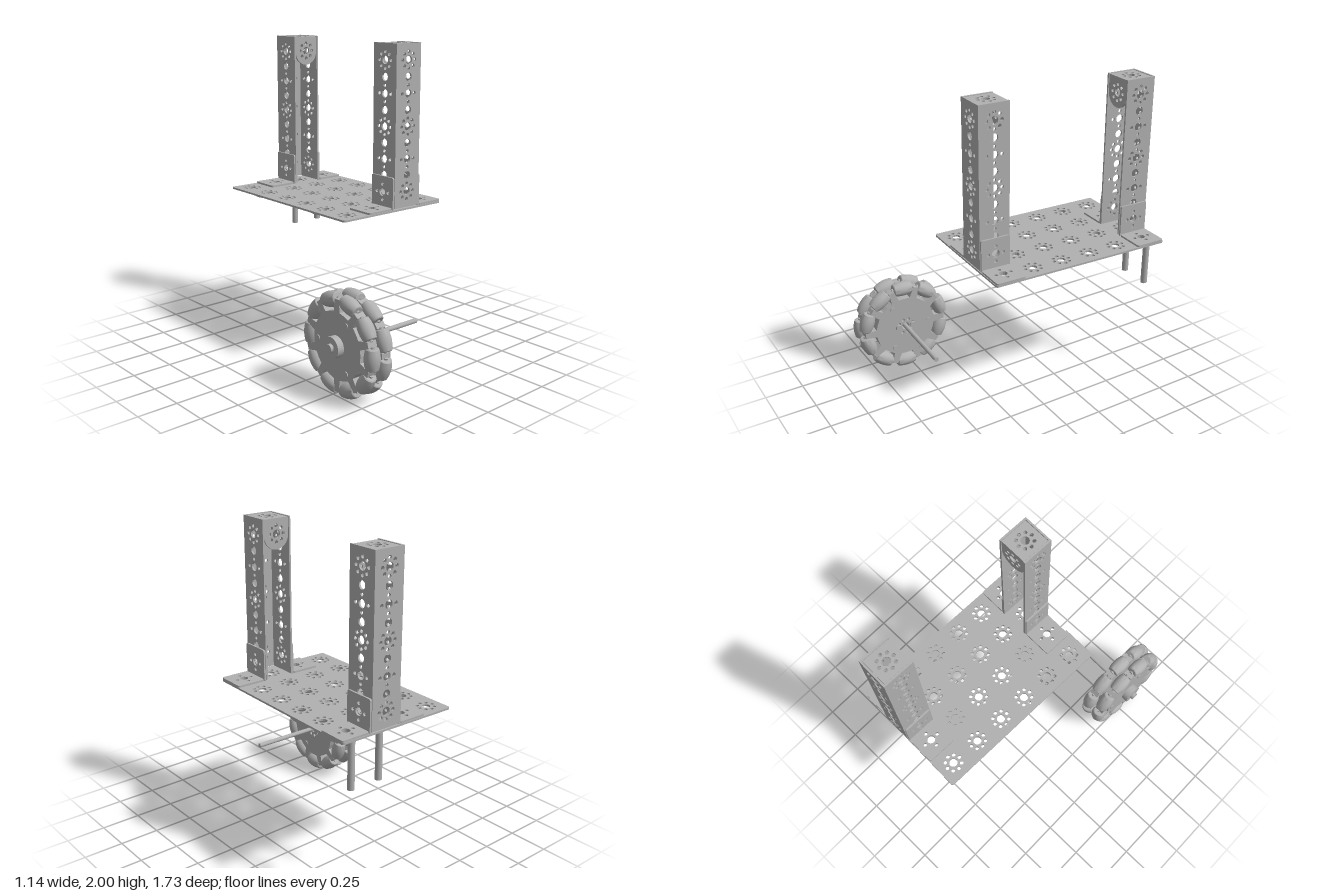
import * as THREE from 'three';
import { toCreasedNormals } from 'three/addons/utils/BufferGeometryUtils.js';

const steel = new THREE.MeshStandardMaterial({ color: 0xb0b0b0 });
steel.name = 'brushed grey';

const P = 0.202;      // hole pitch
const T = 0.012;      // sheet thickness
const TILT = -0.03;   // slight turn of the parts about y

function add(parent, name, geometry, x = 0, y = 0, z = 0) {
  const mesh = new THREE.Mesh(geometry, steel);
  mesh.name = name;
  mesh.position.set(x, y, z);
  parent.add(mesh);
  return mesh;
}

// Centre hole with n small holes around it
function drill(shape, x, y, n) {
  const hole = (cx, cy, r) => shape.holes.push(new THREE.Path().absarc(cx, cy, r, 0, Math.PI * 2, true));
  hole(x, y, 0.026);
  for (let i = 0; i < n; i++) {
    const a = i / n * Math.PI * 2;
    hole(x + 0.05 * Math.cos(a), y + 0.05 * Math.sin(a), 0.0115);
  }
}

// Drilled sheet with corner radii for the top and bottom, lying in the xy plane
function sheet(w, h, rTop, rBottom, holes, t = T) {
  const s = new THREE.Shape(), a = w / 2, b = h / 2, q = Math.PI / 2;
  s.absarc(a - rBottom, -b + rBottom, rBottom, -q, 0);
  s.absarc(a - rTop, b - rTop, rTop, 0, q);
  s.absarc(-a + rTop, b - rTop, rTop, q, 2 * q);
  s.absarc(-a + rBottom, -b + rBottom, rBottom, 2 * q, 3 * q);
  holes.forEach(([x, y, n]) => drill(s, x, y, n));
  return new THREE.ExtrudeGeometry(s, { depth: t, bevelEnabled: false, curveSegments: 7 });
}
const flat = g => g.rotateX(-Math.PI / 2);
const upright = g => g.rotateY(Math.PI / 2);

// U channel with its open side toward -z, two foot brackets and a top bracket
function tower() {
  const g = new THREE.Group(), H = 5 * P, mid = 2 - H / 2, half = P / 2;
  const holes = [];
  for (let i = -2; i <= 2; i++) {
    holes.push([0, i * P, i % 2 ? 4 : 8]);
    if (i < 2) holes.push([0, (i + 0.5) * P, 0]);
  }
  add(g, 'channelWeb', sheet(P - 2 * T, H, 0.001, 0.001, holes), 0, mid, half - T);
  for (const side of [-1, 1]) {
    add(g, 'channelFlange', upright(sheet(P, H, 0.001, 0.001, holes)), side > 0 ? half - T : -half, mid, 0);
    // foot bracket
    add(g, 'footBracketUpright', upright(sheet(P - 0.008, P, 0.012, 0.001, [[0, 0, 4]])),
      side > 0 ? half : -half - T, 0.984 + half, 0);
    add(g, 'footBracketBase', flat(sheet(P - T, P - 0.008, 0.015, 0.015, [[-side * T / 2, 0, 4]])),
      side * (P + T / 2), 0.983, 0);
  }
  // top bracket
  const inner = P - 2 * T - 0.004;
  add(g, 'topCap', flat(sheet(inner, P - 2 * T, 0.002, 0.002, [[0, 0, 8]])), 0, 1.985, -0.002);
  add(g, 'topCapTab', sheet(inner, 0.19, 0.002, inner / 2 - 0.001, [[0, 0, 8]]), 0, 1.902, -half + 0.004);
  return g;
}

function chassis() {
  const g = new THREE.Group();
  g.name = 'chassis';
  const holes = [];
  for (let c = -1.5; c <= 1.5; c++)
    for (let r = -2.5; r <= 2.5; r++) holes.push([c * P, r * P, 8]);
  add(g, 'basePlate', flat(sheet(4 * P, 6 * P, 0.015, 0.015, holes)), 0, 0.971, 0);

  // rounded strips under the plate
  for (const row of [-1.5, 1.5])
    add(g, 'underStrip', flat(sheet(0.58, 0.18, 0.0895, 0.0895, [[-P, 0, 8], [P, 0, 8]], 0.009)), -P / 2, 0.962, row * P);

  // hanging rods
  for (const col of [0.5, 1.5])
    add(g, 'hangingRod', new THREE.CylinderGeometry(0.021, 0.021, 0.317, 24), col * P, 0.8135, -2.5 * P - 0.05);

  const front = tower(), back = tower();
  front.name = 'frontTower';
  back.name = 'backTower';
  front.position.set(P / 2, 0, 2.5 * P);
  back.position.set(P / 2, 0, -2.5 * P);
  back.rotation.y = Math.PI;
  g.add(front, back);
  return g;
}

// Cylinder along x
const bar = (r, len, n = 32) => new THREE.CylinderGeometry(r, r, len, n).rotateZ(-Math.PI / 2);

function omniWheel() {
  const g = new THREE.Group();
  g.name = 'omniWheel';
  const N = 10, step = Math.PI * 2 / N, ring = 0.27;

  // barrel roller, axis along the tangent
  const profile = [[0, -0.064], [0.034, -0.064], [0.039, -0.06], [0.044, -0.04], [0.047, -0.02], [0.048, 0],
    [0.047, 0.02], [0.044, 0.04], [0.039, 0.06], [0.034, 0.064], [0, 0.064]];
  const roller = toCreasedNormals(new THREE.LatheGeometry(profile.map(p => new THREE.Vector2(...p)), 28), 0.6);

  // disc with a tooth between each pair of rollers
  const disc = new THREE.Shape(), r0 = 0.207, r1 = 0.283;
  for (let i = 0; i < N; i++) {
    const a = (i + 0.5) * step, c = Math.cos(a), s = Math.sin(a);
    for (const [r, w] of [[r0, -0.026], [r1, -0.019], [r1, 0.019], [r0, 0.026]]) {
      const x = r * c - w * s, y = r * s + w * c;
      if (i === 0 && r === r0 && w < 0) disc.moveTo(x, y); else disc.lineTo(x, y);
    }
    for (const k of [0.8, 1, 1.2])
      disc.lineTo(r0 * Math.cos((i + k) * step), r0 * Math.sin((i + k) * step));
  }
  drill(disc, 0, 0, 8);
  const discGeo = upright(new THREE.ExtrudeGeometry(disc, { depth: 0.064, bevelEnabled: false, curveSegments: 8 })
    .translate(0, 0, -0.032));

  [-0.047, 0.047].forEach((x, k) => {
    const row = new THREE.Group();
    row.name = 'rollerRow';
    row.position.x = x;
    row.rotation.x = k * step / 2;
    add(row, 'wheelDisc', discGeo);
    for (let i = 0; i < N; i++) {
      const arm = new THREE.Group();
      arm.name = 'rollerMount';
      arm.rotation.x = i * step;
      add(arm, 'roller', roller, 0, 0, ring);
      add(arm, 'rollerPin', new THREE.CylinderGeometry(0.014, 0.014, 0.15, 10), 0, 0, ring);
      row.add(arm);
    }
    g.add(row);
  });

  // hub, axle and screws
  add(g, 'spacer', bar(0.08, 0.03), 0, 0, 0);
  add(g, 'hub', bar(0.065, 0.044), -0.1, 0, 0);
  add(g, 'hubCollar', bar(0.026, 0.022, 24), -0.131, 0, 0);
  add(g, 'axle', bar(0.015, 0.69, 20), 0.207, 0, 0);
  for (const z of [-0.05, 0.05]) add(g, 'hubScrew', bar(0.021, 0.014, 16), 0.085, 0, z);
  for (let i = 0; i < 3; i++) {
    const a = Math.PI + i * Math.PI * 2 / 3;
    for (const x of [-0.081, 0.081])
      add(g, 'discScrew', bar(0.017, 0.008, 16), x, 0.169 * Math.sin(a), 0.169 * Math.cos(a));
  }
  return g;
}

export function createModel() {
  const model = new THREE.Group();
  model.name = 'robotParts';
  const base = chassis(), wheel = omniWheel();
  base.position.set(0.147, 0, -0.248);
  base.rotation.y = TILT;
  wheel.position.set(-0.432, 0.322, 0.548);
  wheel.rotation.y = TILT;
  model.add(base, wheel);
  return model;
}
